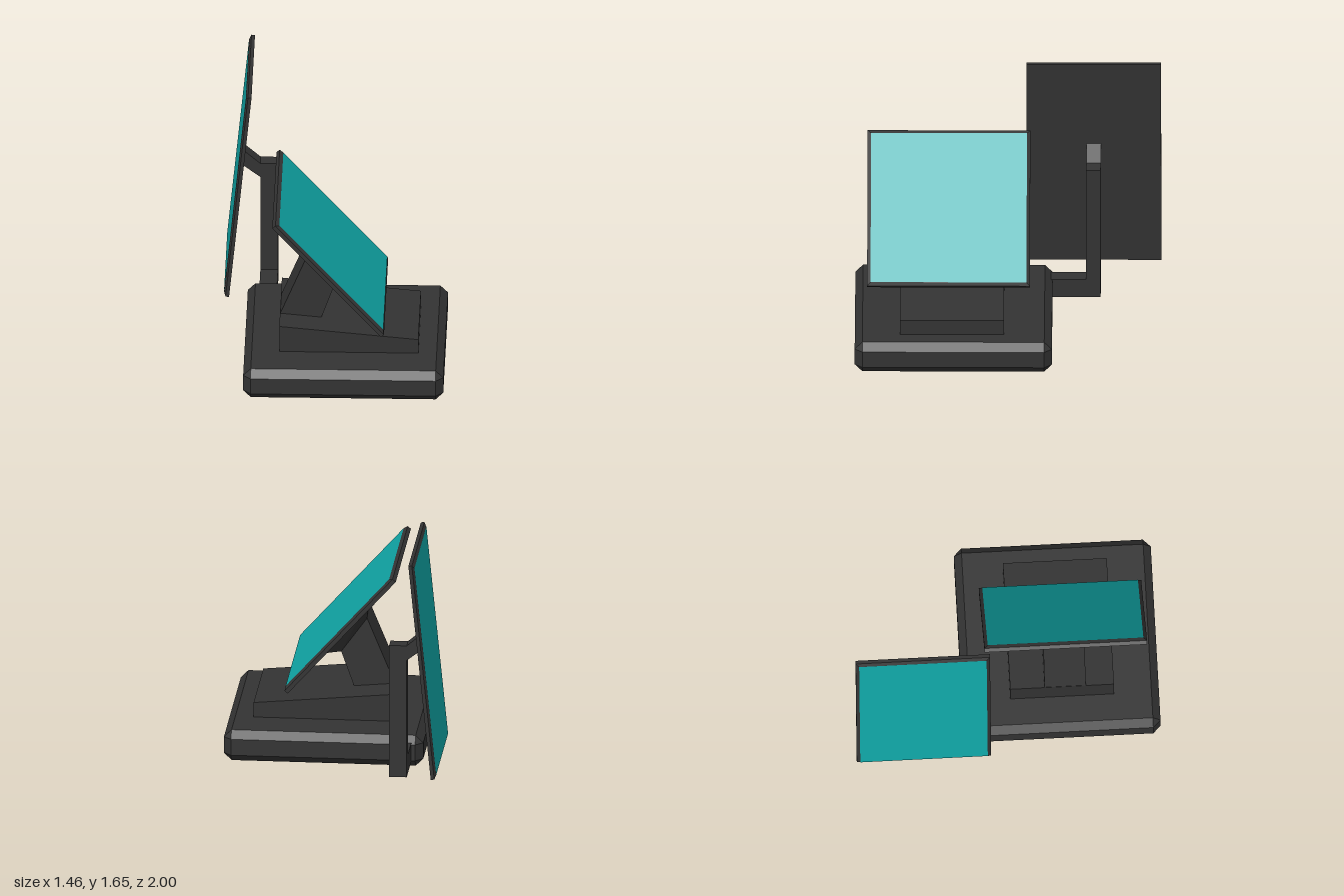
import * as THREE from 'three';
import { ConvexGeometry } from 'three/addons/geometries/ConvexGeometry.js';

const dark = new THREE.MeshStandardMaterial({ color: 0x333333, flatShading: true });
const teal = new THREE.MeshStandardMaterial({ color: 0x10a8a8, flatShading: true });

function part(name, geometry, material = dark) {
  const mesh = new THREE.Mesh(geometry, material);
  mesh.name = name;
  return mesh;
}

// Side profile in x/y, extruded from z0 to z1
function prism(name, profile, z0, z1) {
  const shape = new THREE.Shape(profile.map(([x, y]) => new THREE.Vector2(x, y)));
  const geo = new THREE.ExtrudeGeometry(shape, { depth: z1 - z0, bevelEnabled: false });
  return part(name, geo.translate(0, 0, z0));
}

// Box with every edge chamfered by c
function chamferBox(w, h, d, c) {
  const pts = [];
  for (const sx of [-1, 1]) for (const sy of [-1, 1]) for (const sz of [-1, 1]) {
    for (const [a, b, e] of [[0, c, c], [c, 0, c], [c, c, 0]]) {
      pts.push(new THREE.Vector3(sx * (w / 2 - a), sy * (h / 2 - b), sz * (d / 2 - e)));
    }
  }
  return new ConvexGeometry(pts);
}

// Monitor panel: back at local x = 0, display facing local +x, bevelled front rim
function panel(name, height, width, thickness) {
  const inset = 0.0225;
  const pts = [];
  for (const [x, i] of [[0, 0], [thickness - 0.012, 0], [thickness, inset]]) {
    for (const sy of [-1, 1]) for (const sz of [-1, 1]) {
      pts.push(new THREE.Vector3(x, sy * (height / 2 - i), sz * (width / 2 - i)));
    }
  }
  const group = new THREE.Group();
  group.name = name;
  const face = new THREE.PlaneGeometry(width - 2 * inset, height - 2 * inset);
  face.rotateY(Math.PI / 2).translate(thickness + 0.001, 0, 0);
  group.add(part(name + 'Housing', new ConvexGeometry(pts)), part(name + 'Display', face, teal));
  return group;
}

export function createModel() {
  const model = new THREE.Group();
  model.name = 'twoScreenTerminal';

  // Chamfered base and sloping plinth
  const base = part('base', chamferBox(1.31, 0.21, 1.29, 0.05));
  base.position.set(0.075, 0.105, 0.355);
  model.add(base);
  model.add(prism('plinth', [[-0.35, 0.2], [0.56, 0.2], [0.56, 0.31], [-0.35, 0.395]], 0.025, 0.705));

  // Leaning neck
  const zMid = 0.385;
  model.add(prism('neck', [[-0.35, 0.39], [-0.08, 0.365], [0.005, 0.605], [-0.165, 0.84]],
    zMid - 0.135, zMid + 0.135));

  // Bracket flaring from the neck to the back of the main screen
  const bracket = [];
  for (const [x, y, half] of [[-0.165, 0.84, 0.135], [0.005, 0.605, 0.135],
    [-0.19, 1.013, 0.25], [0.16, 0.62, 0.25]]) {
    for (const s of [-1, 1]) bracket.push(new THREE.Vector3(x, y, zMid + s * half));
  }
  model.add(part('screenBracket', new ConvexGeometry(bracket)));

  // Main screen, tilted up toward +x
  const mainScreen = panel('mainScreen', 1.066, 1.065, 0.04);
  mainScreen.position.set(-0.035, 0.8365, 0.3875);
  mainScreen.rotation.z = 0.729;
  model.add(mainScreen);

  // Rear arm: foot out of the base, then post with a bent tip
  model.add(prism('armFoot', [[-0.505, 0.045], [-0.39, 0.045], [-0.39, 0.17], [-0.505, 0.17]], -0.515, -0.25));
  model.add(prism('armPost', [[-0.505, 0.045], [-0.39, 0.045], [-0.39, 0.955], [-0.505, 0.955],
    [-0.615, 1.05], [-0.625, 0.945], [-0.505, 0.855]], -0.605, -0.51));

  // Tall second screen facing -x
  const rearScreen = panel('rearScreen', 1.482, 0.88, 0.035);
  rearScreen.position.set(-0.6265, 0.9075, -0.56);
  rearScreen.rotation.z = Math.PI - 0.0994;
  model.add(rearScreen);

  return model;
}
